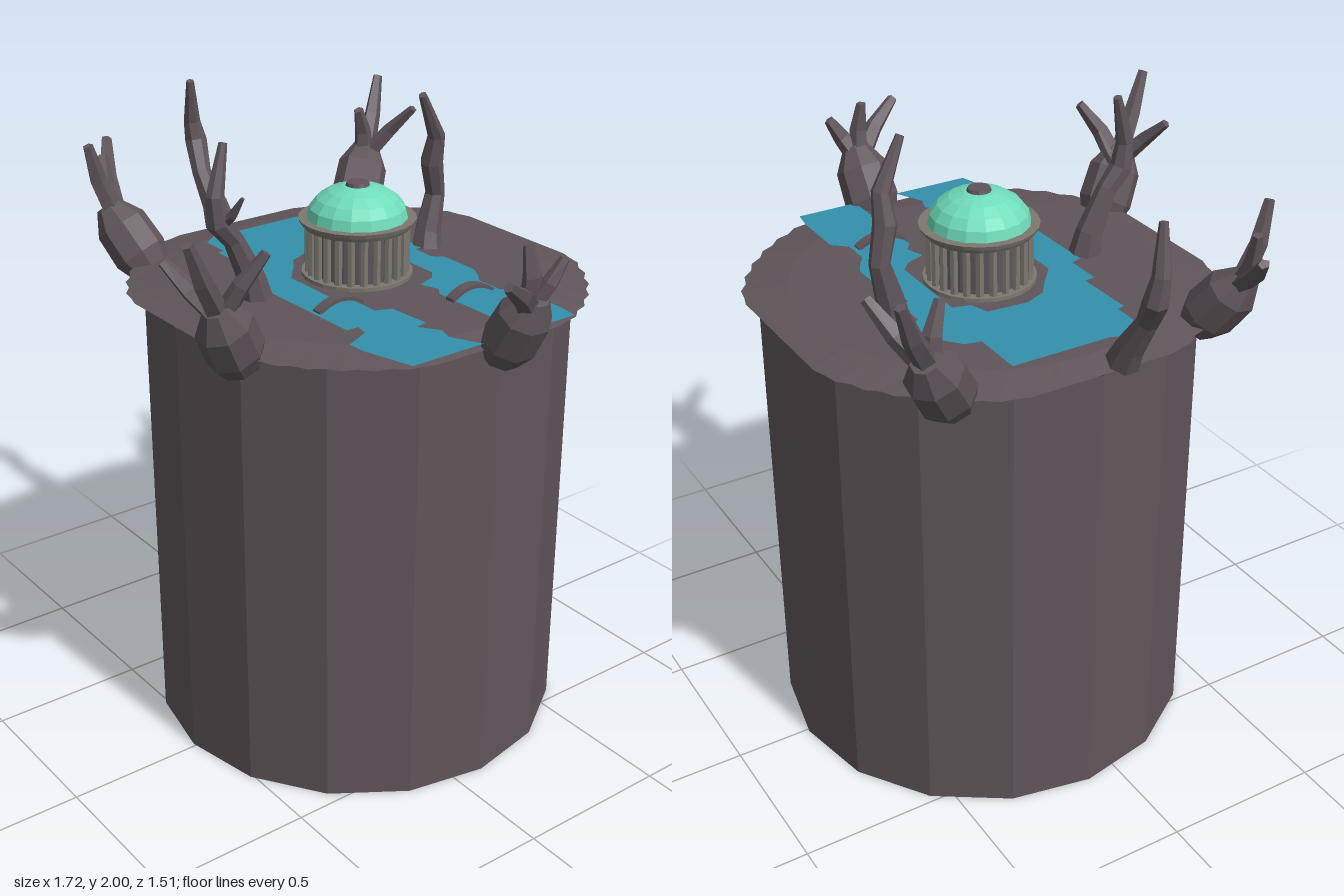
import * as THREE from 'three';

const CX = -0.01, CZ = -0.1, GROUND = 1.485;

export function createModel() {
  const root = new THREE.Group();
  root.name = 'pillarIsland';
  const mat = (name, color, side = THREE.FrontSide) => {
    const m = new THREE.MeshStandardMaterial({ color, side });
    m.name = name;
    return m;
  };
  const rock = mat('darkRock', 0x5f555a, THREE.DoubleSide);
  const water = mat('water', 0x3590ab, THREE.DoubleSide);
  const stone = mat('paleStone', 0x7d776f);
  const jade = mat('domeGreen', 0x6fdcba);

  const flat = (g) => {
    const n = g.index ? g.toNonIndexed() : g;
    n.computeVertexNormals();
    return n;
  };
  const add = (name, geo, material, x = 0, y = 0, z = 0, parent = root) => {
    const m = new THREE.Mesh(geo, material);
    m.name = name;
    m.position.set(x, y, z);
    parent.add(m);
    return m;
  };

  // Faceted limb: rings of the given radii along a list of points, closed at both ends
  function limb(points, radii, sides, squash = 1) {
    const p = points.map((a) => new THREE.Vector3(...a));
    p.unshift(p[0].clone());
    p.push(p[p.length - 1].clone());
    const r = [0, ...radii, 0], pos = [], idx = [];
    const ref = new THREE.Vector3(0, 0, 1);
    p.forEach((c, i) => {
      const t = p[Math.min(i + 1, p.length - 1)].clone().sub(p[Math.max(i - 1, 0)]).normalize();
      const u = new THREE.Vector3().crossVectors(ref, t).normalize();
      const v = new THREE.Vector3().crossVectors(t, u);
      for (let j = 0; j < sides; j++) {
        const a = ((j + 0.5) / sides) * Math.PI * 2;
        const q = c.clone().addScaledVector(u, r[i] * Math.cos(a) * squash).addScaledVector(v, r[i] * Math.sin(a));
        pos.push(q.x, q.y, q.z);
        if (i < p.length - 1) {
          const k = i * sides, n = (j + 1) % sides;
          idx.push(k + j, k + n, k + sides + n, k + j, k + sides + n, k + sides + j);
        }
      }
    });
    const g = new THREE.BufferGeometry();
    g.setAttribute('position', new THREE.Float32BufferAttribute(pos, 3));
    g.setIndex(idx);
    return flat(g);
  }

  // Hollow sixteen-sided pillar
  add('pillar', flat(new THREE.CylinderGeometry(0.66, 0.66, 1.465, 16, 1, true)), rock, CX, 0.7325, CZ);

  // Ground sheet: ragged disc cut square on four sides, drooping at its rim
  const ground = new THREE.RingGeometry(0.001, 0.711, 96, 5);
  ground.rotateX(-Math.PI / 2);
  const gp = ground.attributes.position;
  for (let i = 0; i < gp.count; i++) {
    const x = gp.getX(i), z = gp.getZ(i), r = Math.hypot(x, z);
    const rag = r > 0.7 && i % 2 ? 0.985 : 1;
    gp.setXYZ(i, THREE.MathUtils.clamp(x * rag, -0.66, 0.66), r > 0.6 ? 1.467 : GROUND,
      THREE.MathUtils.clamp(z * rag, -0.66, 0.66));
  }
  add('ground', flat(ground), rock, CX, 0, CZ);

  // Horseshoe river, drawn as x and z pairs
  const bank = [
    [0.655, -0.38], [0.59, -0.39], [0.41, -0.39], [0.37, -0.345], [0.28, -0.345], [0.245, -0.37], [0.2, -0.395],
    [0.06, -0.395], [0.03, -0.365], [-0.05, -0.365], [-0.05, -0.395], [-0.165, -0.395], [-0.18, -0.425],
    [-0.27, -0.425], [-0.36, -0.355], [-0.37, -0.305], [-0.535, -0.305], [-0.535, 0.015], [-0.555, 0.06],
    [-0.5, 0.13], [-0.405, 0.13], [-0.4, 0.155], [-0.205, 0.15], [-0.2, 0.185], [-0.08, 0.185], [-0.07, 0.22],
    [0.35, 0.215], [0.35, 0.175], [0.395, 0.185], [0.435, 0.27], [0.49, 0.27], [0.655, 0.225], [0.655, -0.03],
    [0.56, 0.015], [0.51, 0], [0.45, 0.04], [0.44, 0], [0.3, 0.01], [0.28, 0.06], [0.165, 0.06], [0.12, 0.1],
    [-0.08, 0.1], [-0.145, 0.045], [-0.205, 0], [-0.235, -0.07], [-0.225, -0.2], [-0.165, -0.22], [-0.15, -0.275],
    [0.14, -0.275], [0.175, -0.245], [0.2, -0.18], [0.26, -0.2], [0.295, -0.175], [0.655, -0.18],
  ];
  const river = new THREE.ShapeGeometry(new THREE.Shape(bank.map(([x, z]) => new THREE.Vector2(x, -z))));
  river.rotateX(-Math.PI / 2);
  add('river', river, water, 0, GROUND + 0.005, 0);

  // Arched footbridges
  for (const [x, z] of [[0.347, -0.25], [0.192, 0.125]]) {
    const g = new THREE.BoxGeometry(0.034, 0.012, 0.16, 1, 1, 8);
    const p = g.attributes.position;
    for (let i = 0; i < p.count; i++) p.setY(i, p.getY(i) + 0.028 * (1 - (p.getZ(i) / 0.08) ** 2));
    add('bridge', flat(g), rock, x, GROUND + 0.004, z);
  }

  // Domed rotunda with a ring of columns
  const temple = new THREE.Group();
  temple.name = 'rotunda';
  temple.position.set(CX, GROUND, CZ);
  root.add(temple);
  const part = (name, g, m, y, x = 0, z = 0) => add(name, flat(g), m, x, y, z, temple);
  part('step', new THREE.CylinderGeometry(0.172, 0.172, 0.012, 24), stone, 0.006);
  part('innerWall', new THREE.CylinderGeometry(0.142, 0.142, 0.16, 20), rock, 0.08);
  for (let i = 0; i < 24; i++) {
    const a = (i / 24) * Math.PI * 2;
    part('column', new THREE.CylinderGeometry(0.013, 0.013, 0.155, 6), stone, 0.08, Math.cos(a) * 0.15, Math.sin(a) * 0.15);
  }
  part('corniceLower', new THREE.CylinderGeometry(0.172, 0.164, 0.014, 24), stone, 0.162);
  part('corniceUpper', new THREE.CylinderGeometry(0.181, 0.176, 0.013, 24), stone, 0.175);
  const arc = [];
  for (let i = 0; i <= 5; i++) {
    const a = (i / 5) * Math.PI / 2;
    arc.push(new THREE.Vector2(Math.cos(a) * 0.155, Math.sin(a) * 0.103));
  }
  part('dome', new THREE.LatheGeometry(arc, 16), jade, 0.181);
  part('domeCap', new THREE.CylinderGeometry(0.034, 0.038, 0.012, 12), rock, 0.284);

  // Hands: palm from wrist to knuckles, then bent fingers to their tips
  const hands = [
    { name: 'backRightHand', wrist: [-0.55, 1.44, -0.5], top: [-0.64, 1.65, -0.63],
      tips: [[-0.71, 1.86, -0.73], [-0.5, 1.79, -0.72], [-0.6, 1.79, -0.56]] },
    { name: 'frontRightHand', wrist: [-0.52, 1.44, 0.33], top: [-0.65, 1.63, 0.4],
      tips: [[-0.85, 1.78, 0.28], [-0.63, 1.84, 0.47], [-0.7, 1.78, 0.38]] },
    { name: 'frontLeftHand', wrist: [0.25, 1.43, 0.51], top: [0.3, 1.64, 0.62],
      tips: [[0.36, 1.86, 0.74], [0.17, 1.75, 0.7], [0.37, 1.79, 0.5]] },
    { name: 'leftHand', wrist: [0.64, 1.43, -0.11], top: [0.76, 1.64, -0.12],
      tips: [[0.85, 1.74, 0.07], [0.74, 1.79, -0.1], [0.78, 1.74, -0.2]] },
  ];
  const mix = (a, b, t, lift = 0) => a.map((v, i) => v + (b[i] - v) * t + (i === 1 ? lift : 0));
  for (const { name, wrist, top, tips } of hands) {
    const hand = new THREE.Group();
    hand.name = name;
    root.add(hand);
    add('palm', limb([wrist, mix(wrist, top, 0.25), mix(wrist, top, 0.7), top], [0.066, 0.09, 0.086, 0.042], 8, 0.9),
      rock, 0, 0, 0, hand);
    for (const tip of tips) {
      add('finger', limb([mix(wrist, top, 0.8), mix(top, tip, 0.5, -0.015), tip], [0.036, 0.03, 0.017], 5, 0.8),
        rock, 0, 0, 0, hand);
    }
  }

  // Slender raised arms
  const arms = [
    ['backArm', [[-0.07, 1.47, -0.43], [-0.08, 1.53, -0.44], [-0.085, 1.65, -0.47], [-0.07, 1.76, -0.44],
      [-0.05, 1.85, -0.44], [-0.025, 1.995, -0.36]]],
    ['frontArm', [[-0.03, 1.48, 0.265], [-0.03, 1.55, 0.28], [-0.03, 1.68, 0.34], [-0.03, 1.74, 0.39],
      [-0.03, 1.82, 0.4], [-0.04, 1.97, 0.36]]],
    ['rightArm', [[-0.65, 1.48, -0.02], [-0.68, 1.54, -0.02], [-0.74, 1.64, -0.01], [-0.8, 1.73, -0.03],
      [-0.805, 1.8, -0.02], [-0.775, 1.94, 0]]],
  ];
  for (const [name, pts] of arms) add(name, limb(pts, [0.052, 0.043, 0.032, 0.037, 0.028, 0.013], 7), rock);
  add('thumb', limb([[-0.03, 1.73, 0.38], [0.015, 1.77, 0.37], [0.055, 1.83, 0.36]], [0.018, 0.015, 0.006], 5), rock);

  return root;
}
